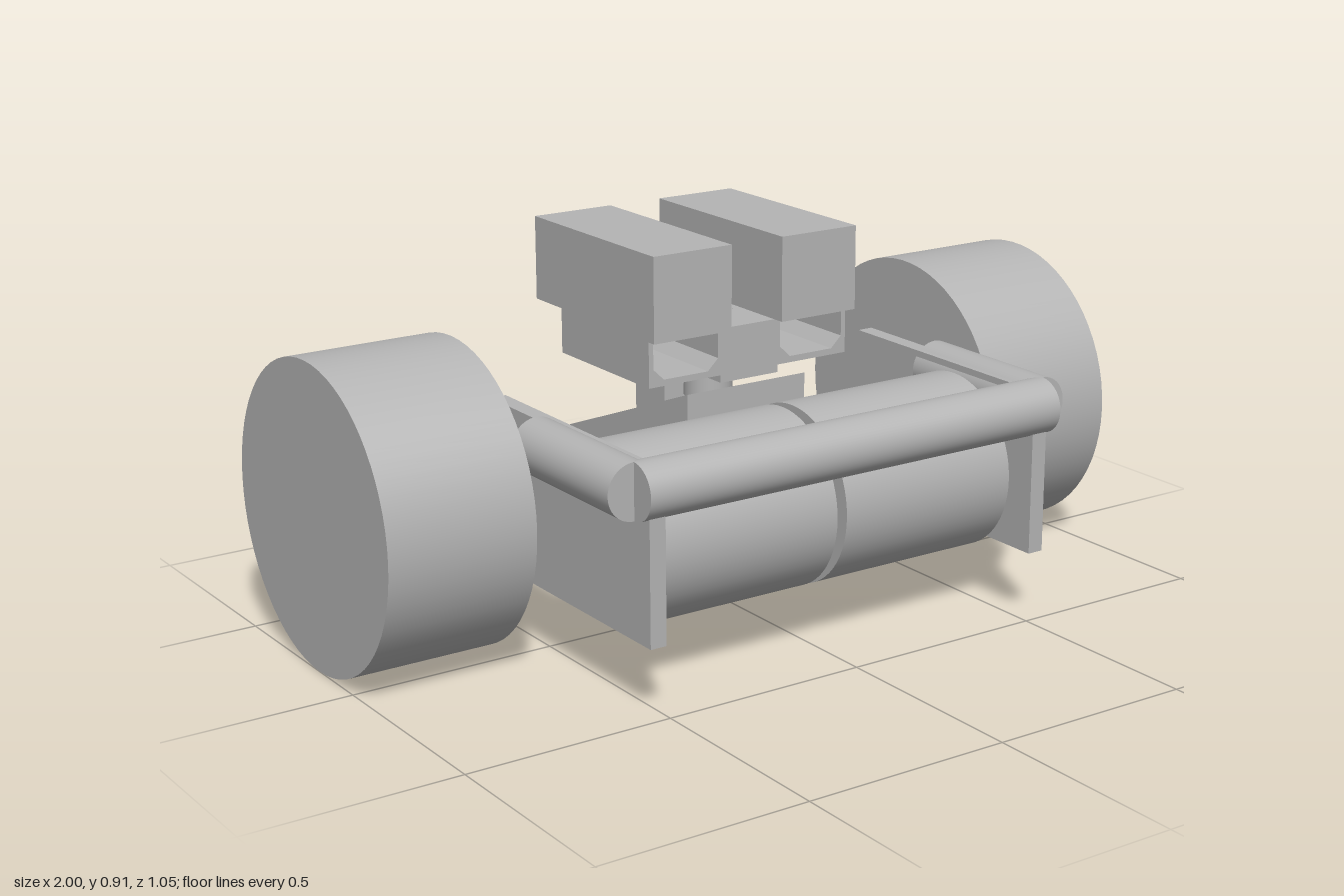
import * as THREE from 'three';

export function createModel() {
  const model = new THREE.Group();
  model.name = 'rollerVehicle';
  const grey = new THREE.MeshStandardMaterial({ color: 0xb4b4b4 });
  grey.name = 'plainGrey';

  const add = (name, geometry, x = 0, y = 0, z = 0) => {
    const mesh = new THREE.Mesh(geometry, grey);
    mesh.name = name;
    mesh.position.set(x, y, z);
    model.add(mesh);
    return mesh;
  };
  // Box given by its limits on each axis
  const box = (name, x0, x1, y0, y1, z0, z1) =>
    add(name, new THREE.BoxGeometry(x1 - x0, y1 - y0, z1 - z0), (x0 + x1) / 2, (y0 + y1) / 2, (z0 + z1) / 2);
  const cylX = (r, length) => new THREE.CylinderGeometry(r, r, length, 64).rotateZ(Math.PI / 2);
  const cylZ = (r, length) => new THREE.CylinderGeometry(r, r, length, 48).rotateX(Math.PI / 2);
  const polygon = (points) => new THREE.Shape(points.map(([x, y]) => new THREE.Vector2(x, y)));
  const extrude = (shape, depth) =>
    new THREE.ExtrudeGeometry(shape, { depth, bevelEnabled: false, curveSegments: 24 });

  // Front tube of the bumper frame
  add('frontBar', cylX(0.065, 1.12), 0, 0.51, 0.46);

  // Open cradle under each upper box, with chamfered inner corners
  const cradle = polygon([
    [-0.1, 0.705], [-0.1, 0.595], [0.1, 0.595], [0.1, 0.705], [0.088, 0.705],
    [0.088, 0.637], [0.06, 0.61], [-0.06, 0.61], [-0.088, 0.637], [-0.088, 0.705],
  ]);

  for (const [side, s] of [['left', 1], ['right', -1]]) {
    add(side + 'Wheel', cylX(0.36, 0.36), s * 0.82, 0.36, -0.165);
    add(side + 'Roller', cylX(0.21, 0.472), s * 0.249, 0.335, 0.23);
    add(side + 'SideBar', cylZ(0.065, 0.395), s * 0.56, 0.51, 0.2625);
    add(side + 'SidePlate', new THREE.BoxGeometry(0.04, 0.395, 0.66), s * 0.525, 0.3625, 0.165);
    add(side + 'UpperBox', new THREE.BoxGeometry(0.21, 0.2, 0.51), s * 0.175, 0.805, -0.145);
    add(side + 'Cradle', extrude(cradle, 0.375), s * 0.175, 0, -0.295);
    for (const x of [0.135, 0.215]) {
      add(side + 'MountingStrip', new THREE.BoxGeometry(0.02, 0.01, 0.3), s * x, 0.7, -0.11);
    }
  }

  // Centre block joining the cradles, with its vertical pivot
  box('centreBlock', -0.08, 0.08, 0.577, 0.705, -0.17, 0.08);
  add('pivot', new THREE.CylinderGeometry(0.058, 0.058, 0.206, 48), 0, 0.603, -0.09);

  // Rear block with a round hole through it
  const rear = polygon([[-0.07, 0.41], [0.07, 0.41], [0.07, 0.6], [-0.07, 0.6]]);
  rear.holes.push(new THREE.Path().absarc(0, 0.525, 0.025, 0, Math.PI * 2, true));
  add('rearBlock', extrude(rear, 0.125), 0, 0, -0.295);

  // Sloping slab behind the rollers; profile drawn as (z, y)
  const slab = polygon([[-0.4, 0.26], [0.07, 0.365], [0.07, 0.56], [-0.45, 0.36]]);
  add('slopingSlab', extrude(slab, 0.33).rotateY(-Math.PI / 2), 0.165, 0, 0);

  return model;
}
